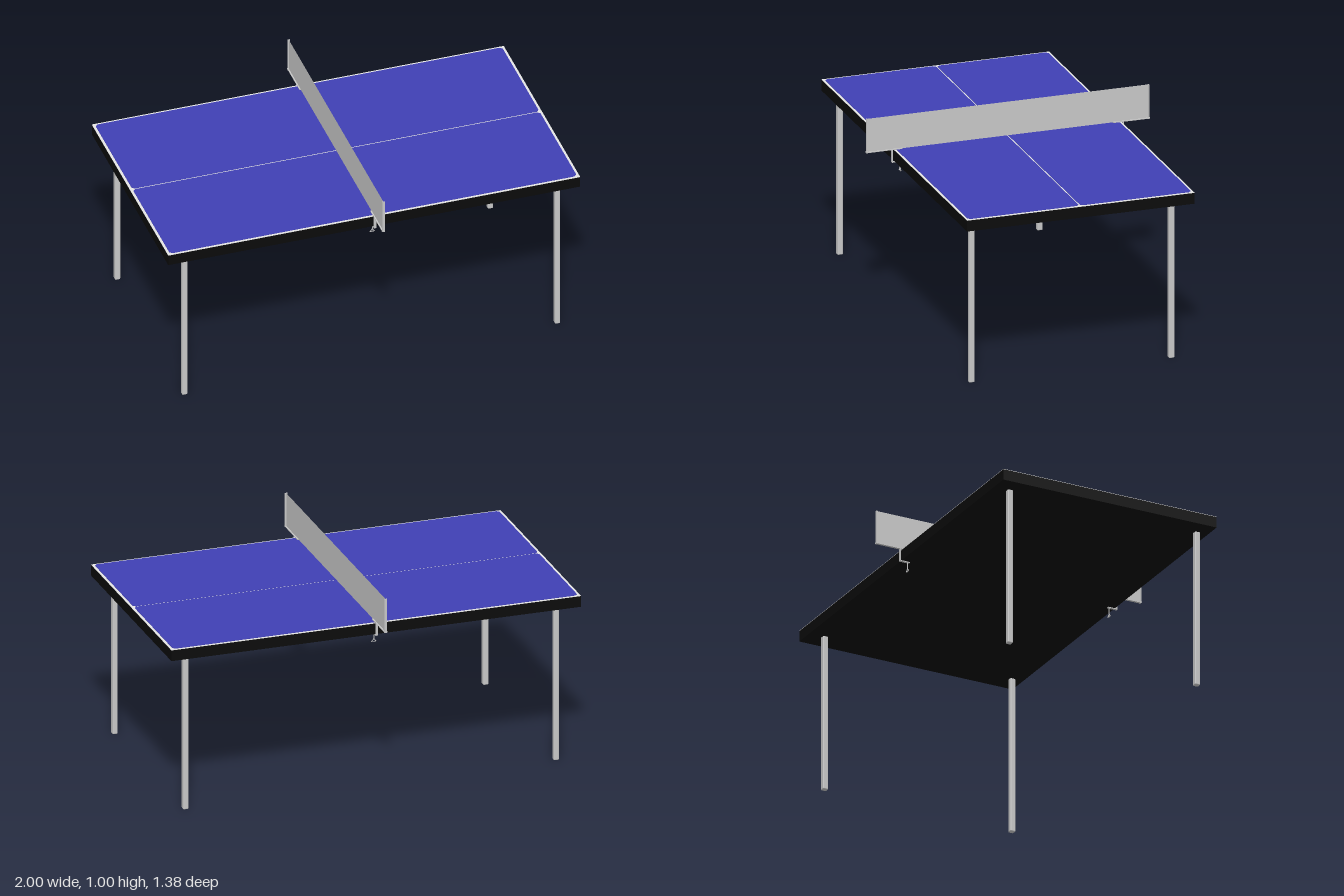
import * as THREE from 'three';
import { RoundedBoxGeometry } from 'three/addons/geometries/RoundedBoxGeometry.js';

const material = (name, color, side = THREE.FrontSide) => {
  const m = new THREE.MeshStandardMaterial({ color, side });
  m.name = name;
  return m;
};

export function createModel() {
  const table = new THREE.Group();
  table.name = 'tableTennisTable';

  const black = material('black board', 0x0a0a0a);
  const blue = material('blue playing surface', 0x4040b4);
  const white = material('white lines', 0xe4e4e4);
  const grey = material('grey metal', 0xc8c8c8);
  const netGrey = material('grey net', 0xc8c8c8, THREE.DoubleSide);

  const add = (name, geometry, mat, x, y, z, parent = table) => {
    const mesh = new THREE.Mesh(geometry, mat);
    mesh.name = name;
    mesh.position.set(x, y, z);
    parent.add(mesh);
    return mesh;
  };
  const box = (name, w, h, d, mat, x, y, z, parent) =>
    add(name, new THREE.BoxGeometry(w, h, d), mat, x, y, z, parent);

  // Board with a white sheet that shows as the lines around both courts
  box('board', 2, 0.053, 1.112, black, 0, 0.8025, -0.002);
  box('lines', 2, 0.002, 1.112, white, 0, 0.83, -0.002);

  // Two blue courts with clipped corners
  const w = 0.988, d = 0.271, c = 0.012;
  const court = new THREE.Shape([
    [-w + c, -d], [w - c, -d], [w, -d + c], [w, d - c],
    [w - c, d], [-w + c, d], [-w, d - c], [-w, -d + c],
  ].map(([x, y]) => new THREE.Vector2(x, y)));
  const courtGeometry = new THREE.ExtrudeGeometry(court, { depth: 0.002, bevelEnabled: false });
  courtGeometry.rotateX(-Math.PI / 2);
  for (const s of [-1, 1]) add('court', courtGeometry, blue, 0, 0.831, s * 0.2745 - 0.002);

  // Legs with softened edges
  const legGeometry = new RoundedBoxGeometry(0.026, 0.778, 0.027, 2, 0.005);
  for (const x of [-0.905, 0.905])
    for (const z of [-0.477, 0.5]) add('leg', legGeometry, grey, x, 0.389, z);

  // Net sheet
  const net = new THREE.PlaneGeometry(1.378, 0.165);
  net.rotateY(Math.PI / 2);
  add('net', net, netGrey, 0, 0.917, 0);

  // Post and screw clamp, mirrored to each end of the net
  for (const s of [-1, 1]) {
    const clamp = new THREE.Group();
    clamp.name = 'netClamp';
    table.add(clamp);
    box('post', 0.012, 0.168, 0.005, grey, 0, 0.916, s * 0.6885, clamp);
    box('postFoot', 0.014, 0.007, 0.009, grey, 0, 0.8365, s * 0.688, clamp);
    box('upperArm', 0.012, 0.004, 0.176, grey, 0, 0.835, s * 0.603, clamp);
    box('clampBack', 0.012, 0.062, 0.004, grey, 0, 0.805, s * 0.565, clamp);
    box('lowerJaw', 0.012, 0.004, 0.05, grey, 0, 0.773, s * 0.542, clamp);
    add('screw', new THREE.CylinderGeometry(0.0025, 0.0025, 0.036, 8), grey, 0, 0.755, s * 0.526, clamp);
    // Wing handle as a small triangular loop
    const wing = add('wingHandle', new THREE.TorusGeometry(0.011, 0.0025, 6, 3), grey, 0, 0.7325, s * 0.526, clamp);
    wing.rotation.z = Math.PI / 2;
    wing.scale.set(0.8, 1.2, 1.3);
  }
  return table;
}
